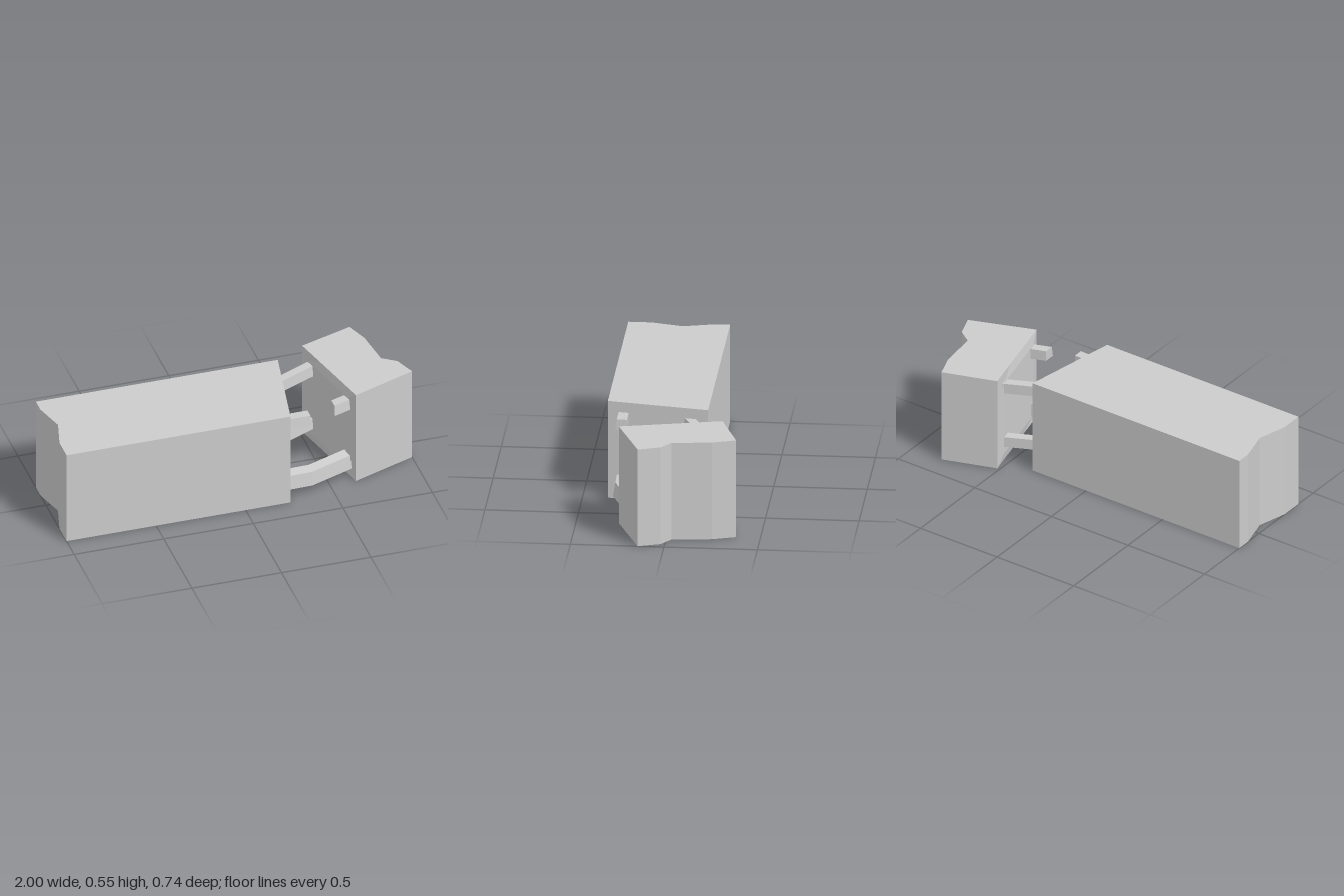
import * as THREE from 'three';

const H = 0.547;
const material = new THREE.MeshStandardMaterial({ color: 0xcccccc, flatShading: true });

function addMesh(group, name, geometry) {
  const mesh = new THREE.Mesh(geometry, material);
  mesh.name = name;
  group.add(mesh);
}

// Upright prism from an outline of [x, z] points
function prism(outline) {
  const shape = new THREE.Shape(outline.map(([x, z]) => new THREE.Vector2(x, -z)));
  return new THREE.ExtrudeGeometry(shape, { depth: H, bevelEnabled: false }).rotateX(-Math.PI / 2);
}

// Four-sided bar: a [z, y] section swept along path points [x, y, z]
function bar(path, section) {
  const positions = [], index = [];
  for (const [x, y, z] of path)
    for (const [dz, dy] of section) positions.push(x, y + dy, z + dz);
  const n = section.length;
  for (let i = 0; i < path.length - 1; i++)
    for (let j = 0; j < n; j++) {
      const a = i * n + j, b = i * n + (j + 1) % n;
      index.push(a, a + n, b, b, a + n, b + n);
    }
  const e = (path.length - 1) * n;
  index.push(0, 1, 2, 0, 2, 3, e, e + 2, e + 1, e, e + 3, e + 2);
  const indexed = new THREE.BufferGeometry();
  indexed.setAttribute('position', new THREE.Float32BufferAttribute(positions, 3));
  indexed.setIndex(index);
  const geometry = indexed.toNonIndexed();
  geometry.computeVertexNormals();
  return geometry;
}

export function createModel() {
  const group = new THREE.Group();
  group.name = 'brokenBeam';

  // Long beam with a notched far end and a slanted break
  addMesh(group, 'longBlock', prism([
    [-1, -0.18], [0.35, -0.18], [0.25, 0.365], [-1, 0.365],
    [-1, 0.24], [-0.955, 0.07], [-1, -0.1],
  ]));

  // Broken-off piece, turned away from the beam
  addMesh(group, 'brokenBlock', prism([
    [0.515, -0.272], [0.81, -0.37], [0.855, -0.245], [0.88, -0.03],
    [0.955, 0.022], [1, 0.14], [0.645, 0.272],
  ]));

  // Slightly raised fracture face on the broken piece
  const face = new THREE.PlaneGeometry(0.559, H, 3, 3);
  const p = face.attributes.position;
  for (let i = 0; i < p.count; i++) {
    if (Math.abs(p.getX(i)) < 0.2 && Math.abs(p.getY(i)) < 0.2)
      p.setXYZ(i, Math.sign(p.getX(i)) * 0.21, Math.sign(p.getY(i)) * 0.22, 0.01);
  }
  face.rotateY(Math.atan2(-0.544, 0.13)).translate(0.58, H / 2, 0);
  addMesh(group, 'fractureFace', face);

  // Reinforcing bars: sections run outer bottom, outer top, inner top, inner bottom
  const thick = [[0.04, -0.04], [0.027, 0.038], [-0.03, 0.048], [-0.03, -0.03]];
  const thin = [[0.033, -0.03], [0.024, 0.03], [-0.03, 0.03], [-0.03, -0.03]];
  addMesh(group, 'frontLowerBar', bar([
    [0.22, 0.097, 0.29], [0.385, 0.097, 0.286], [0.64, 0.097, 0.19],
  ], thick));
  addMesh(group, 'frontUpperStub', bar([[0.22, 0.46, 0.282], [0.38, 0.46, 0.282]], thin));
  addMesh(group, 'brokenBlockStub', bar([[0.53, 0.46, 0.228], [0.65, 0.46, 0.185]], thin));
  for (const [name, y] of [['backLowerBar', 0.125], ['backUpperBar', 0.46]])
    addMesh(group, name, bar([[0.3, y, -0.065], [0.56, y, -0.185]], thin));

  return group;
}
